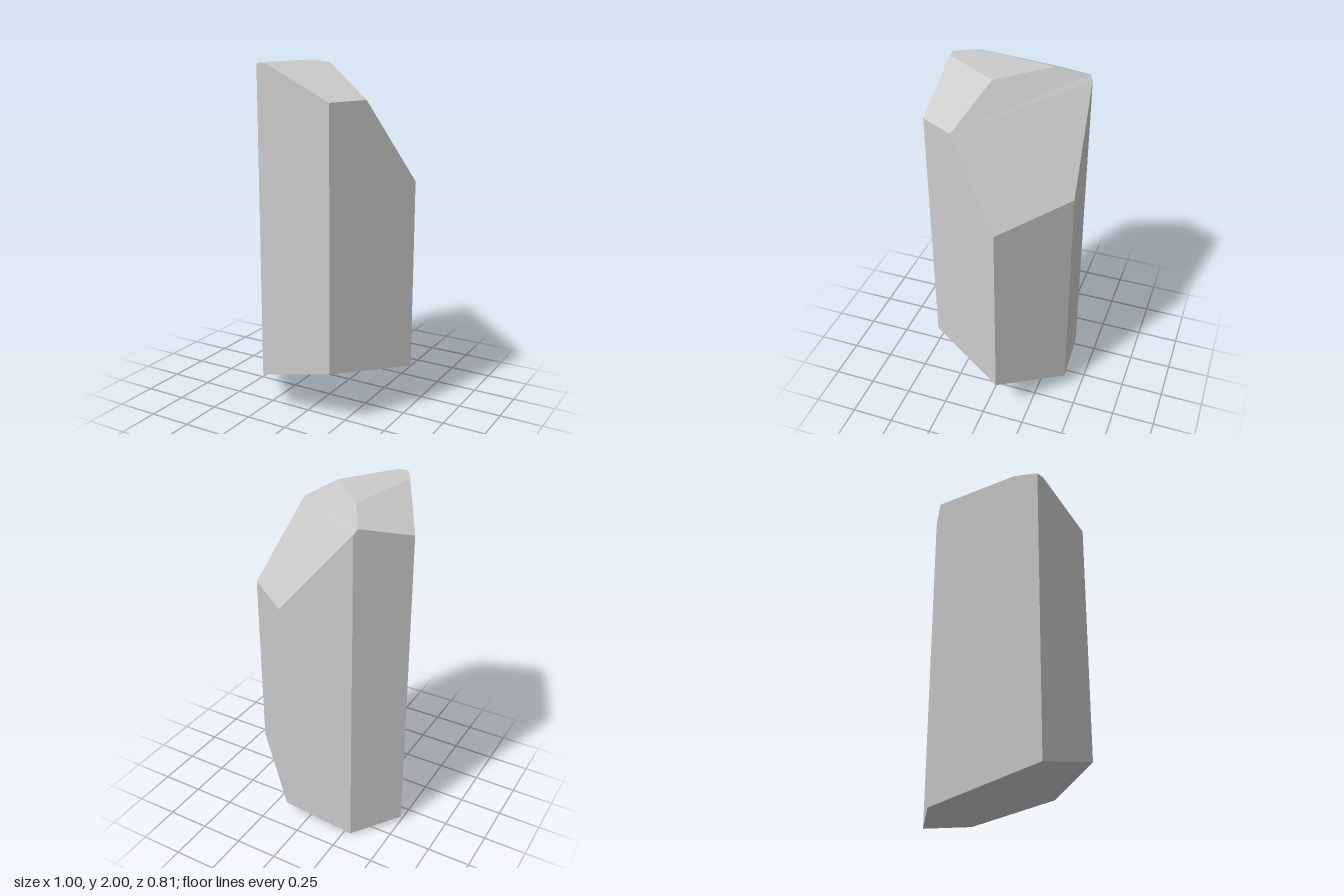
import * as THREE from 'three';

// Corners of the six-sided shaft, counter-clockwise from above:
// x, z, bottom height, top height
const columns = [
  [-0.5, -0.11, 0.03, 1.86],
  [-0.21, 0.4, 0.235, 2],
  [0.23, 0.395, 0.335, 1.815],
  [0.5, -0.085, 0.265, 1.36],
  [0.13, -0.405, 0.09, 1.42],
  [-0.29, -0.363, 0, 1.91],
];

// Extra corners where the tip's ridges meet the side walls
const leftRidge = [-0.28, 2, 0.277];
const frontRidge = [-0.15, 2, 0.399];
const sideRidge = [0.34, 1.82, 0.2];
const backRidge = [-0.305, 1.938, -0.345];
// Inner corners of the flat tip
const tipFront = [0.05, 2, 0.08];
const tipBack = [-0.205, 2, -0.18];

// Flat-shaded solid from convex polygons, each split as a fan
function facetedGeometry(polygons) {
  const positions = [];
  for (const p of polygons) {
    for (let i = 1; i < p.length - 1; i++) positions.push(...p[0], ...p[i], ...p[i + 1]);
  }
  const geometry = new THREE.BufferGeometry();
  geometry.setAttribute('position', new THREE.Float32BufferAttribute(positions, 3));
  geometry.computeVertexNormals();
  return geometry;
}

export function createModel() {
  const bottom = columns.map(([x, z, low]) => [x, low, z]);
  const top = columns.map(([x, z, , high]) => [x, high, z]);
  const ridges = [leftRidge, frontRidge, sideRidge, null, null, backRidge];

  // Side walls
  const polygons = columns.map((_, i) => {
    const j = (i + 1) % columns.length;
    const wall = [bottom[i], bottom[j], top[j]];
    if (ridges[i]) wall.push(ridges[i]);
    wall.push(top[i]);
    return wall;
  });

  // Slanted base
  polygons.push([...bottom].reverse());

  // Tip: flat top, left slope, front slope, large back slope
  const [a, b, c, d, e, f] = top;
  polygons.push(
    [leftRidge, b, frontRidge, tipFront, tipBack],
    [a, leftRidge, tipBack, backRidge],
    [frontRidge, c, sideRidge, tipFront],
    [sideRidge, d, e, f, backRidge, tipBack, tipFront],
  );

  const material = new THREE.MeshStandardMaterial({ color: 0xcccccc, flatShading: true });
  const crystal = new THREE.Mesh(facetedGeometry(polygons), material);
  crystal.name = 'crystal';

  const group = new THREE.Group();
  group.name = 'crystalShard';
  group.add(crystal);
  return group;
}
